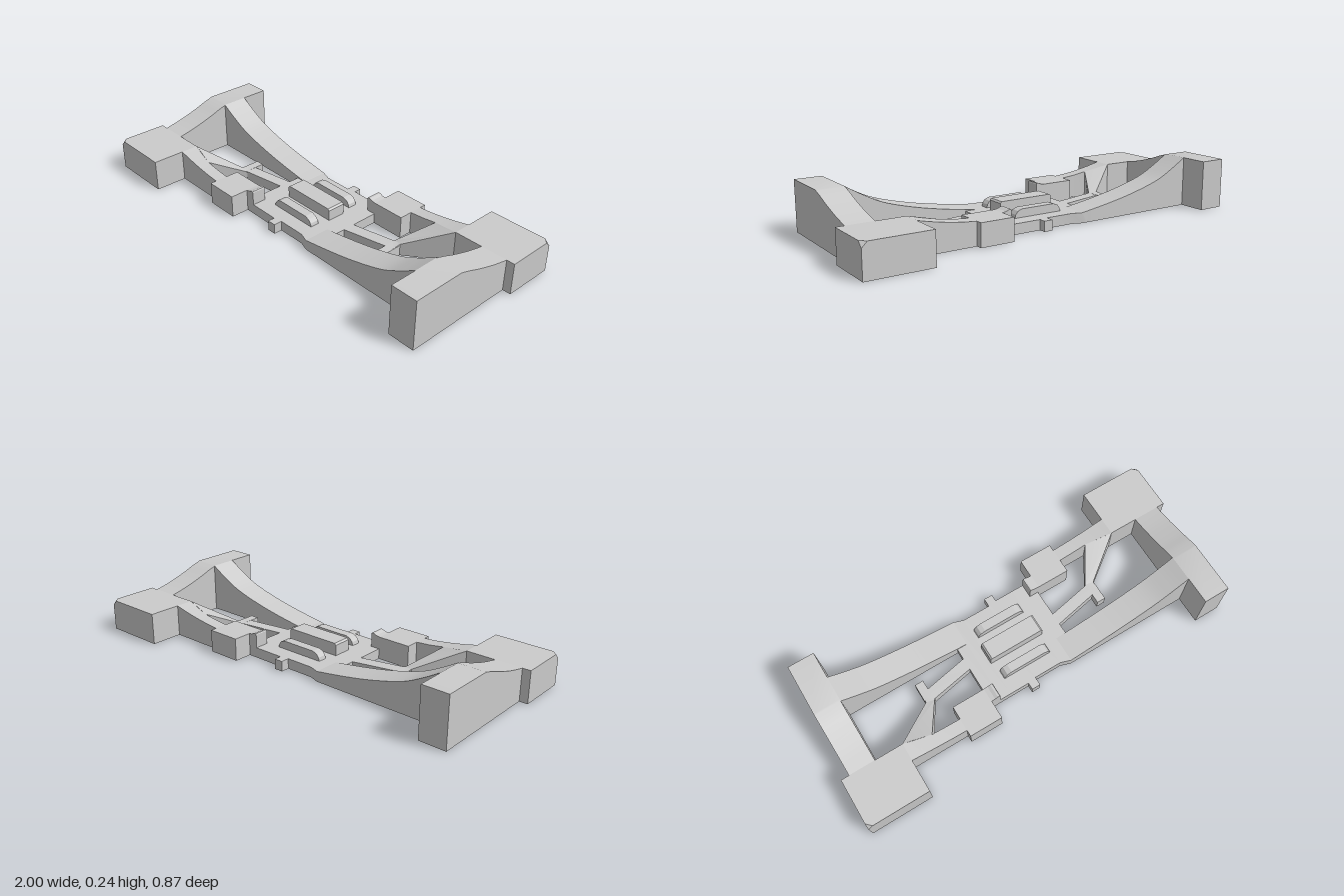
import * as THREE from 'three';
import { toCreasedNormals } from 'three/addons/utils/BufferGeometryUtils.js';
import { ConvexGeometry } from 'three/addons/geometries/ConvexGeometry.js';

const material = new THREE.MeshStandardMaterial({ color: 0xcccccc });

function add(parent, name, geometry) {
  const mesh = new THREE.Mesh(geometry, material);
  mesh.name = name;
  parent.add(mesh);
  return mesh;
}

// box from its limits
function box(parent, name, x0, x1, y0, y1, z0, z1) {
  const mesh = add(parent, name, new THREE.BoxGeometry(x1 - x0, y1 - y0, z1 - z0));
  mesh.position.set((x0 + x1) / 2, (y0 + y1) / 2, (z0 + z1) / 2);
}

// solid standing on the ground; each station is [leftX, leftZ, leftHeight, rightX, rightZ, rightHeight]
// as seen when travelling along the strip
function strip(parent, name, stations) {
  const rings = stations.map(([ax, az, ah, bx, bz, bh]) =>
    [[ax, 0, az], [bx, 0, bz], [bx, bh, bz], [ax, ah, az]]);
  const positions = [];
  const quad = (a, b, c, d) => positions.push(...a, ...b, ...c, ...a, ...c, ...d);
  const first = rings[0], last = rings[rings.length - 1];
  quad(...first);
  quad(last[3], last[2], last[1], last[0]);
  for (let i = 0; i < rings.length - 1; i++) {
    for (let k = 0; k < 4; k++) {
      const n = (k + 1) % 4;
      quad(rings[i][n], rings[i][k], rings[i + 1][k], rings[i + 1][n]);
    }
  }
  const geometry = new THREE.BufferGeometry();
  geometry.setAttribute('position', new THREE.Float32BufferAttribute(positions, 3));
  add(parent, name, toCreasedNormals(geometry, 0.4));
}

// smooth height curve through [distance, height] points
function curve(points, count) {
  return new THREE.SplineCurve(points.map(p => new THREE.Vector2(...p))).getPoints(count);
}

// side profile in x and y, extruded along z and centred on z
function profile(parent, name, points, width, z) {
  const shape = new THREE.Shape(points.map(p => new THREE.Vector2(...p)));
  const geometry = new THREE.ExtrudeGeometry(shape, { depth: width, bevelEnabled: false });
  geometry.translate(0, 0, z - width / 2);
  add(parent, name, geometry);
}

function buildHalf() {
  const half = new THREE.Group();

  // half of the flat centre plate, with its locating peg
  strip(half, 'centrePlate', [
    [0, -0.22, 0.05, 0, 0.213, 0.05],
    [0.14, -0.22, 0.05, 0.14, 0.213, 0.05],
    [0.19, -0.22, 0.05, 0.19, 0.23, 0.05],
    [0.243, -0.22, 0.05, 0.243, 0.23, 0.05],
  ]);
  box(half, 'edgePeg', 0, 0.043, 0, 0.05, -0.255, -0.21);

  // curved arm rising to the end bar
  const armCurve = curve([[0.19, 0.05], [0.35, 0.075], [0.5, 0.105], [0.65, 0.147], [0.75, 0.195], [0.83, 0.242]], 24);
  strip(half, 'curvedArm', armCurve.map(p => [p.x, 0.1, p.y, p.x, 0.23, p.y]));

  // end bar: high at one end, sweeping down to the corner block
  const barCurve = curve([[-0.19, 0.155], [-0.1, 0.175], [0, 0.205], [0.06, 0.227], [0.11, 0.242]], 16);
  barCurve.push(new THREE.Vector2(0.365, 0.242));
  strip(half, 'endBar', barCurve.map(p => [0.96, p.x, p.y, 0.83, p.x, p.y]));

  // corner block with one clipped corner
  const c = 0.025, h = 0.155;
  const corners = [
    [0.69, 0, -0.437], [1, 0, -0.437], [1, 0, -0.19], [0.69, 0, -0.19],
    [0.69, h, -0.437], [1, h, -0.19], [0.69, h, -0.19],
    [1 - c, h, -0.437], [1, h - c, -0.437], [1, h, -0.437 + c],
  ];
  add(half, 'cornerBlock', new ConvexGeometry(corners.map(p => new THREE.Vector3(...p))));

  // side block and the raised lip that joins it to the plate
  box(half, 'sideBlock', 0.243, 0.41, 0, 0.11, -0.31, -0.15);
  profile(half, 'lip', [[0.197, 0], [0.245, 0], [0.245, 0.11], [0.225, 0.113], [0.21, 0.12], [0.2, 0.12], [0.197, 0.115]], 0.07, -0.185);

  // narrow rail from side block to corner block
  strip(half, 'rail', [
    [0.41, -0.278, 0.11, 0.41, -0.215, 0.11],
    [0.48, -0.278, 0.116, 0.48, -0.215, 0.116],
    [0.555, -0.278, 0.127, 0.555, -0.215, 0.127],
    [0.63, -0.278, 0.141, 0.63, -0.202, 0.141],
    [0.69, -0.278, 0.155, 0.69, -0.19, 0.155],
  ]);

  // bent strut between plate and corner, with a small peg at the bend
  strip(half, 'strut', [
    [0.243, -0.015, 0.05, 0.243, 0.045, 0.05],
    [0.455, -0.055, 0.055, 0.5, -0.005, 0.055],
    [0.46, -0.06, 0.055, 0.5, -0.05, 0.058],
    [0.555, -0.215, 0.127, 0.69, -0.19, 0.155],
  ]);
  box(half, 'strutPeg', 0.46, 0.503, 0, 0.055, -0.04, 0.05);

  // low ridge beside the centre block
  profile(half, 'ridge', [[-0.127, 0.05], [-0.123, 0.066], [-0.11, 0.082], [-0.088, 0.09],
    [0.088, 0.09], [0.11, 0.082], [0.123, 0.066], [0.127, 0.05]].reverse(), 0.045, 0.12);
  return half;
}

export function createModel() {
  const model = new THREE.Group();
  model.name = 'linkFrame';

  // the two halves are the same, turned half a circle
  for (let i = 0; i < 2; i++) {
    const half = buildHalf();
    half.name = i ? 'rightHalf' : 'leftHalf';
    half.rotation.y = i * Math.PI;
    model.add(half);
  }

  // centre block with softened top ends
  profile(model, 'centreBlock', [[-0.143, 0.05], [0.143, 0.05], [0.143, 0.102], [0.135, 0.11], [-0.135, 0.11], [-0.143, 0.102]], 0.09, 0);
  return model;
}
